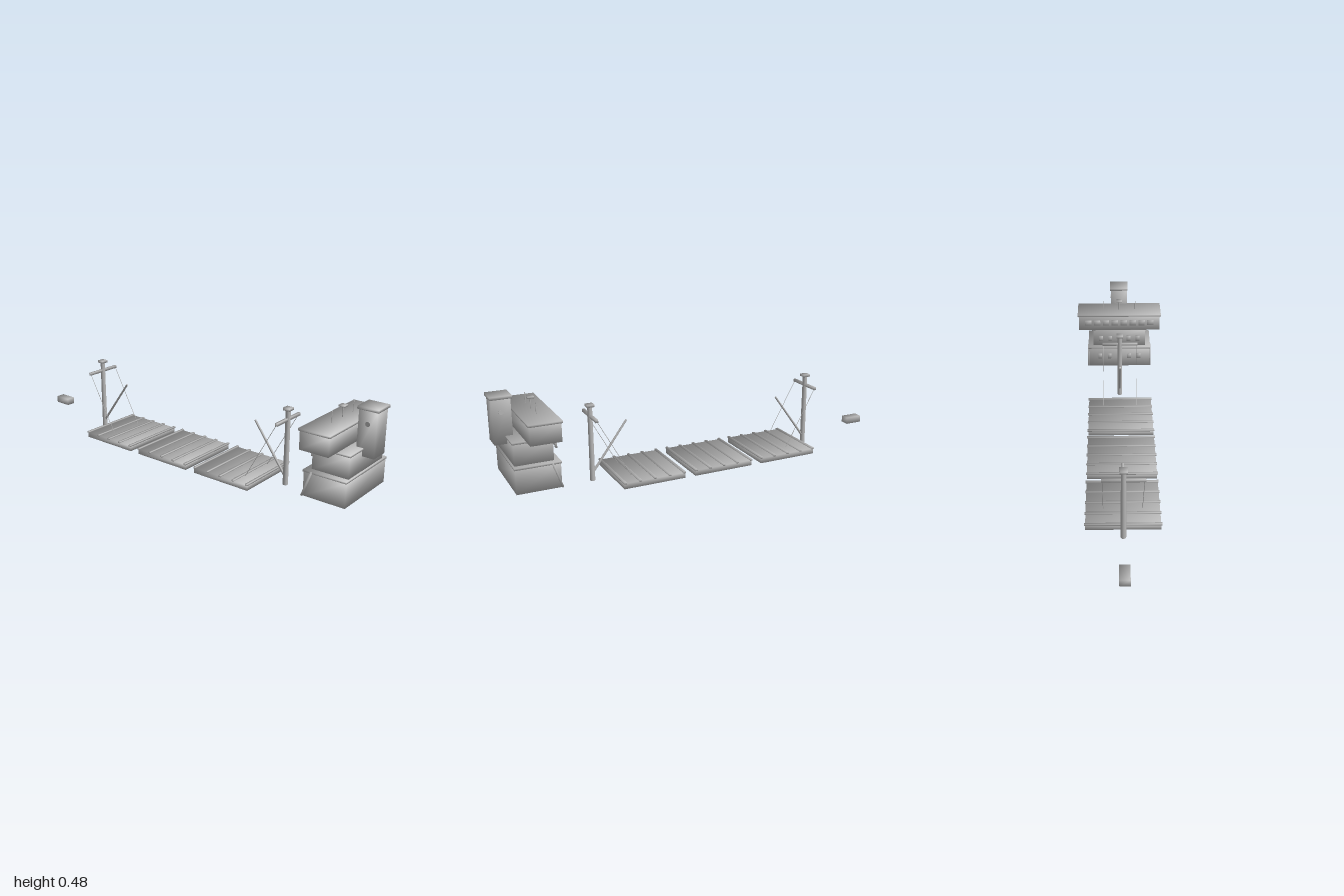
import * as THREE from 'three';

export function createModel() {
  const root = new THREE.Group();
  root.name = 'shipSuperstructure';
  const grey = new THREE.MeshStandardMaterial({ color: 0xb6b6b6 });
  grey.name = 'hull grey';

  const group = (name) => {
    const g = new THREE.Group();
    g.name = name;
    root.add(g);
    return g;
  };
  const add = (parent, name, geometry, x, y, z) => {
    const m = new THREE.Mesh(geometry, grey);
    m.name = name;
    m.position.set(x, y, z);
    parent.add(m);
    return m;
  };
  // Box with smooth corner normals, shaded softly across its faces
  const softBox = (w, h, d) => {
    const g = new THREE.BoxGeometry(w, h, d);
    const { position, normal } = g.attributes;
    const n = new THREE.Vector3();
    for (let i = 0; i < position.count; i++) {
      n.set(Math.sign(position.getX(i)), Math.sign(position.getY(i)), Math.sign(position.getZ(i))).normalize();
      normal.setXYZ(i, n.x, n.y, n.z);
    }
    return g;
  };
  // Box given by half width and its y and z ranges, centred at x
  const box = (parent, name, hw, y0, y1, z0, z1, x = 0) =>
    add(parent, name, softBox(hw * 2, y1 - y0, z1 - z0), x, (y0 + y1) / 2, (z0 + z1) / 2);
  // Round rod between two points
  const rod = (parent, name, a, b, r0, r1 = r0, sides = 8) => {
    const p = new THREE.Vector3(...a), q = new THREE.Vector3(...b);
    const d = q.clone().sub(p);
    const c = p.clone().add(q).multiplyScalar(0.5);
    const m = add(parent, name, new THREE.CylinderGeometry(r1, r0, d.length(), sides), c.x, c.y, c.z);
    m.quaternion.setFromUnitVectors(new THREE.Vector3(0, 1, 0), d.normalize());
    return m;
  };

  // Three hatch covers with raised battens
  for (const z of [0.291, -0.073, -0.437]) {
    const hatch = group('hatch');
    box(hatch, 'hatchCover', 0.17, 0, 0.027, z - 0.155, z + 0.155);
    for (let i = -2; i <= 2; i++) {
      const bz = z + i * 0.0755;
      box(hatch, 'batten', 0.174, 0.025, 0.033, bz - 0.006, bz + 0.006);
    }
  }

  // Two cargo masts, each reaching towards the hatches
  for (const [z, dir] of [[0.54, -1], [-0.64, 1]]) {
    const mast = group('cargoMast');
    rod(mast, 'mastPost', [0, 0, z], [0, 0.368, z], 0.0125, 0.0115, 12);
    box(mast, 'mastCap', 0.018, 0.364, 0.376, z - 0.018, z + 0.018);
    box(mast, 'crossBar', 0.095, 0.313, 0.327, z - 0.006, z + 0.006);
    rod(mast, 'boom', [0, 0.035, z], [0, 0.275, z + dir * 0.178], 0.006, 0.005);
    for (const s of [-1, 1]) {
      rod(mast, 'stay', [s * 0.09, 0.32, z], [s * 0.09, 0, z + dir * 0.177], 0.0013, 0.0013, 6);
    }
  }

  // Deck house tiers, each with a slightly wider roof
  const house = group('deckHouse');
  box(house, 'lowerTier', 0.173, 0.07, 0.185, 0.739, 0.942);
  box(house, 'lowerRoof', 0.177, 0.183, 0.192, 0.736, 0.945);
  box(house, 'middleTier', 0.148, 0.19, 0.293, 0.762, 0.937);
  box(house, 'middleRoof', 0.154, 0.291, 0.3, 0.757, 0.942);
  box(house, 'bridge', 0.227, 0.3, 0.387, 0.743, 0.882);
  box(house, 'bridgeRoof', 0.233, 0.385, 0.395, 0.737, 0.888);

  // Window rows along the back of the house
  for (const [name, count, step, w, y, z] of [
    ['lowerWindow', 5, 0.055, 0.022, 0.135, 0.735],
    ['middleWindow', 5, 0.052, 0.022, 0.248, 0.735],
    ['bridgeWindow', 8, 0.05, 0.036, 0.346, 0.737],
  ]) {
    for (let i = 0; i < count; i++) {
      box(house, name, w / 2, y - 0.015, y + 0.015, z, z + 0.007, (i - (count - 1) / 2) * step);
    }
  }

  // Slanting braces, roof antennas and centre signal post
  for (const s of [-1, 1]) {
    const brace = box(house, 'brace', 0.004, 0.068, 0.194, 0.753, 0.761, s * 0.177);
    brace.rotation.x = 0.34;
    rod(house, 'antenna', [s * 0.09, 0.39, 0.812], [s * 0.09, 0.446, 0.812], 0.002, 0.002, 6);
  }
  rod(house, 'signalPost', [0, 0.39, 0.812], [0, 0.446, 0.812], 0.0025);
  box(house, 'signalPlatform', 0.015, 0.443, 0.451, 0.797, 0.827);

  // Funnel with cap and side discs
  const funnel = group('funnel');
  box(funnel, 'funnelBody', 0.0455, 0.263, 0.469, 0.909, 0.993);
  box(funnel, 'funnelCap', 0.05, 0.467, 0.48, 0.902, 1);
  for (const s of [-1, 1]) {
    rod(funnel, 'funnelDisc', [s * 0.04, 0.409, 0.953], [s * 0.0475, 0.409, 0.953], 0.011, 0.011, 16);
  }

  // Small stern box
  box(group('stern'), 'sternBox', 0.023, 0.067, 0.101, -1, -0.912);

  return root;
}
